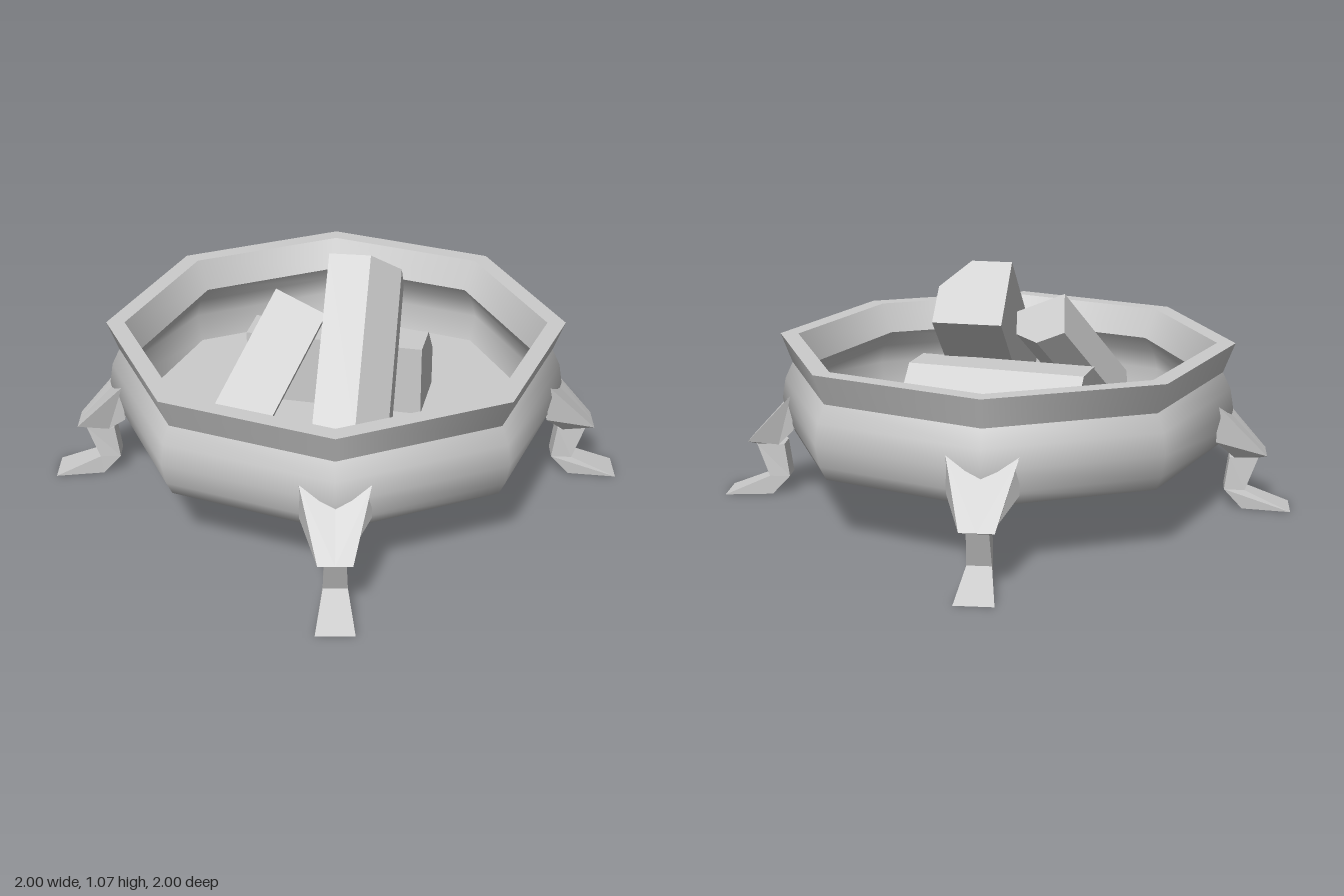
import * as THREE from 'three';

const stone = new THREE.MeshStandardMaterial({ color: 0xcccccc });
stone.name = 'plainGrey';

// Eight-sided band of the bowl; separate bands keep the rings crisp
function band(name, profile) {
  const points = profile.map(([r, y]) => new THREE.Vector2(r, y));
  const mesh = new THREE.Mesh(new THREE.LatheGeometry(points, 8), stone);
  mesh.name = name;
  return mesh;
}

// Split log: a box section with one corner cut off, swept along its axis
function log(name, origin, across, along, scale) {
  const section = [[0, 0], [0.178, 0], [0.303, -0.138], [0.303, -0.32], [0, -0.32]];
  const shape = new THREE.Shape(section.map(([x, y]) => new THREE.Vector2(x, y)));
  const geometry = new THREE.ExtrudeGeometry(shape, { depth: 0.787, bevelEnabled: false });
  const w = new THREE.Vector3(...along).normalize();
  const v = w.clone().cross(new THREE.Vector3(...across)).normalize();
  const u = v.clone().cross(w);
  geometry.scale(scale, scale, scale);
  geometry.applyMatrix4(new THREE.Matrix4().makeBasis(u, v, w).setPosition(...origin));
  const mesh = new THREE.Mesh(geometry, stone);
  mesh.name = name;
  return mesh;
}

// Clawed leg pointing along +z, lofted through five-cornered sections
function legGeometry() {
  // front [z, y, half width], back [z, y, half width], front middle [z, y]
  const sections = [
    { f: [0.93, 0.49, 0.145], b: [0.925, 0.33, 0.145], m: [0.99, 0.42] },
    { f: [1.15, 0.25, 0.07], b: [1.01, 0.24, 0.07] },
    { f: [1.115, 0.235, 0.045], b: [0.99, 0.235, 0.045] },
    { f: [1.06, 0.085, 0.05], b: [0.97, 0.085, 0.045] },
    { f: [1.26, 0, 0.08], b: [1.05, 0, 0.05] },
  ];
  const positions = [];
  for (const { f, b, m = f } of sections) {
    positions.push(-f[2], f[1], f[0], 0, m[1], m[0], f[2], f[1], f[0]);
    positions.push(b[2], b[1], b[0], -b[2], b[1], b[0]);
  }
  const index = [];
  for (let s = 0; s < sections.length - 1; s++) {
    for (let i = 0; i < 5; i++) {
      const a = s * 5 + i, b = s * 5 + (i + 1) % 5;
      // mirrored diagonals on the two halves of the front
      if (i === 1) index.push(a, a + 5, b, b, a + 5, b + 5);
      else index.push(a, b + 5, b, a, a + 5, b + 5);
    }
  }
  const last = (sections.length - 1) * 5;
  for (const [i, j, k] of [[1, 3, 4], [0, 1, 4], [1, 2, 3]]) {
    index.push(i, j, k, last + i, last + k, last + j);
  }
  const geometry = new THREE.BufferGeometry();
  geometry.setAttribute('position', new THREE.Float32BufferAttribute(positions, 3));
  geometry.setIndex(index);
  const flat = geometry.toNonIndexed();
  flat.computeVertexNormals();
  return flat;
}

export function createModel() {
  const model = new THREE.Group();
  model.name = 'fireBowl';

  // Bowl
  const bowl = new THREE.Group();
  bowl.name = 'bowl';
  bowl.add(
    band('bowlBody', [[0, 0.285], [0.95, 0.285], [0.98, 0.345], [1, 0.44], [0.985, 0.53], [0.95, 0.605]]),
    band('rimOuter', [[0.95, 0.605], [1, 0.735]]),
    band('rimTop', [[1, 0.735], [0.92, 0.735]]),
    band('rimInner', [[0.92, 0.735], [0.855, 0.605]]),
    band('bowlInside', [[0.855, 0.605], [0.91, 0.53], [0.94, 0.44], [0.91, 0.32]]),
    band('bowlFloor', [[0.91, 0.32], [0, 0.32]]),
  );
  model.add(bowl);

  // Logs
  model.add(
    log('tallLog', [-0.01, 1.07, 0.03], [0.79, 0, -0.62], [0.355, -0.545, 0.455], 1),
    log('shortLog', [0.05, 0.83, 0.11], [-0.61, -0.56, -0.56], [0.03, -0.42, 0.41], 0.75),
    log('lyingLog', [-0.345, 0.64, 0.215], [-0.54, 0, -0.84], [0.84, 0, -0.54], 1),
  );

  // Legs on the four diagonals
  const legShape = legGeometry();
  ['frontLeftLeg', 'backLeftLeg', 'backRightLeg', 'frontRightLeg'].forEach((name, i) => {
    const leg = new THREE.Mesh(legShape, stone);
    leg.name = name;
    leg.rotation.y = Math.PI / 4 + i * Math.PI / 2;
    model.add(leg);
  });
  return model;
}
